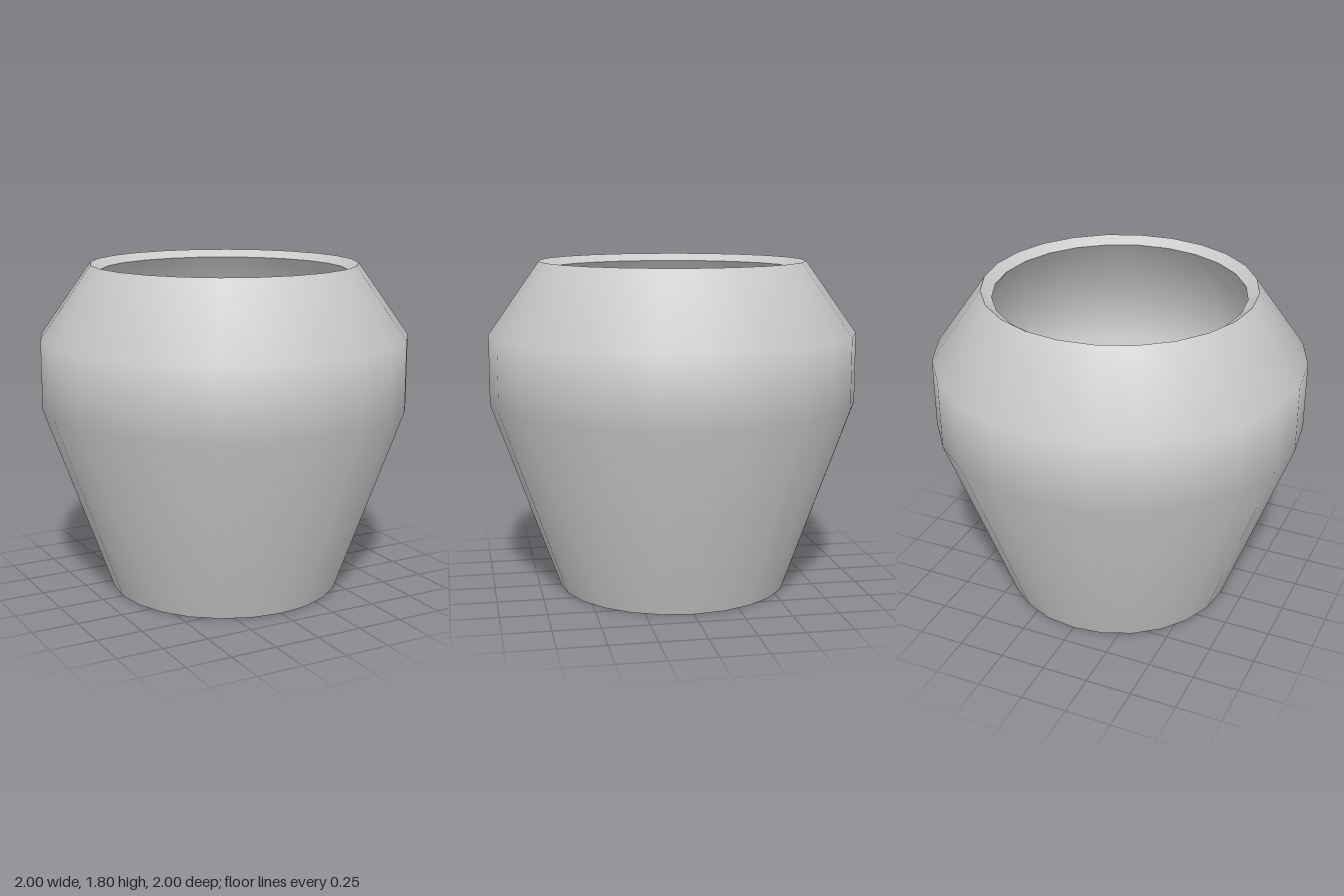
import * as THREE from 'three';

const SIDES = 24;

export function createModel() {
  const pot = new THREE.Group();
  pot.name = 'pot';
  const material = new THREE.MeshStandardMaterial({ color: 0xcccccc });

  const add = (name, geometry) => {
    const mesh = new THREE.Mesh(geometry, material);
    mesh.name = name;
    pot.add(mesh);
    return mesh;
  };
  // Each section is its own lathe, so normals stay sharp between sections
  const turn = (name, profile) =>
    add(name, new THREE.LatheGeometry(profile.map(([r, y]) => new THREE.Vector2(r, y)), SIDES));
  const disc = (name, radius, y, up) => {
    const mesh = add(name, new THREE.CircleGeometry(radius, SIDES));
    mesh.rotation.x = up ? -Math.PI / 2 : Math.PI / 2;
    mesh.position.y = y;
  };

  // Wall profiles as [radius, height], in winding order
  const outer = [[0.632, 0], [1, 1.03], [1, 1.41], [0.725, 1.797]];
  const inner = [[0.668, 1.757], [0.934, 1.389], [0.932, 1.042], [0.59, 0.057]];

  turn('outerWall', outer);
  turn('rim', [outer[3], inner[0]]); // bevel sloping into the mouth
  turn('innerWall', inner);
  disc('innerFloor', inner[3][0], inner[3][1], true);
  disc('base', outer[0][0], 0, false);

  return pot;
}
